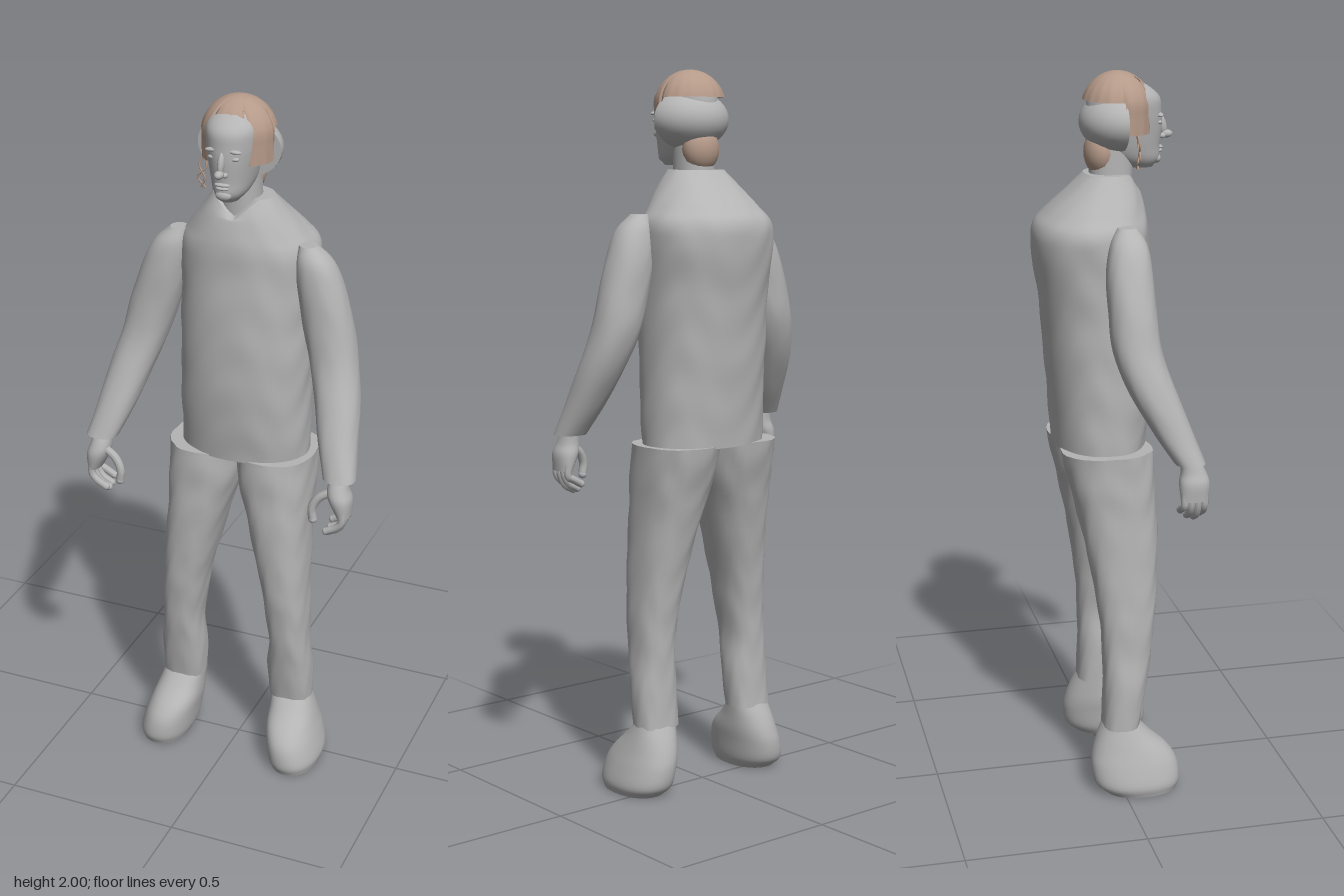
import * as THREE from 'three';
import { mergeGeometries } from 'three/addons/utils/BufferGeometryUtils.js';

const V = (x, y, z) => new THREE.Vector3(x, y, z);

// Smooth surface from rings that close on themselves; u runs upwards, v around
function grid(nu, nv, fn) {
  const pos = [], idx = [];
  for (let i = 0; i <= nu; i++)
    for (let j = 0; j < nv; j++) pos.push(...fn(i / nu, (j / nv) * Math.PI * 2).toArray());
  for (let i = 0; i < nu; i++)
    for (let j = 0; j < nv; j++) {
      const k = (j + 1) % nv, a = i * nv + j, b = i * nv + k, c = a + nv, d = b + nv;
      idx.push(a, c, b, b, c, d);
    }
  const g = new THREE.BufferGeometry();
  g.setAttribute('position', new THREE.Float32BufferAttribute(pos, 3));
  g.setIndex(idx);
  g.computeVertexNormals();
  return g;
}

// Capped body from cross-sections [y, xMin, xMax, zMin, zMax], lowest first
function loft(rows, { power = 2.2, wrinkle = 0, steps = 5, sides = 36, shape = null } = {}) {
  const cx = new THREE.CatmullRomCurve3(rows.map(r => V(r[1], r[0], r[2])), false, 'catmullrom');
  const cz = new THREE.CatmullRomCurve3(rows.map(r => V(r[3], r[0], r[4])), false, 'catmullrom');
  const round = t => Math.sign(t) * Math.pow(Math.abs(t), 2 / power);
  const ring = (u, a) => {
    const p = cx.getPoint(u), q = cz.getPoint(u);
    const w = 1 + wrinkle * Math.sin(p.y * 38 + 3 * Math.sin(a * 3)) * Math.sin(a * 4 + p.y * 9);
    const out = V((p.x + p.z) / 2 + (p.z - p.x) / 2 * round(Math.cos(a)) * w, p.y,
      (q.x + q.z) / 2 + (q.z - q.x) / 2 * round(Math.sin(a)) * w);
    return shape ? shape(out, u) : out;
  };
  const mid = u => {
    const p = cx.getPoint(u), q = cz.getPoint(u);
    const out = V((p.x + p.z) / 2, p.y, (q.x + q.z) / 2);
    return shape ? shape(out, u) : out;
  };
  return mergeGeometries([
    grid((rows.length - 1) * steps, sides, ring),
    grid(1, sides, (u, a) => mid(0).lerp(ring(0, a), u)),
    grid(1, sides, (u, a) => ring(1, a).lerp(mid(1), u)),
  ]);
}

// Mirror cross-sections to the other side, with a sideways shift growing from low to high
function mirror(rows, low = 0, high = 0) {
  const y0 = rows[0][0], y1 = rows[rows.length - 1][0];
  return rows.map(([y, a, b, c, d]) => {
    const s = low + (high - low) * (y - y0) / (y1 - y0);
    return [y, s - b, s - a, c, d];
  });
}

const TORSO = [
  [0.98, -0.167, 0.199, -0.146, 0.105], [1.1, -0.167, 0.199, -0.155, 0.12],
  [1.25, -0.166, 0.2, -0.167, 0.128], [1.4, -0.166, 0.202, -0.18, 0.125],
  [1.53, -0.17, 0.208, -0.198, 0.117], [1.59, -0.168, 0.205, -0.192, 0.113],
  [1.63, -0.14, 0.178, -0.16, 0.108], [1.68, -0.102, 0.138, -0.108, 0.095],
  [1.73, -0.066, 0.1, -0.055, 0.072]];
const ARM = [
  [1.015, -0.395, -0.305, 0.105, 0.187], [1.1, -0.376, -0.27, 0.05, 0.157],
  [1.2, -0.357, -0.235, -0.005, 0.12], [1.3, -0.33, -0.2, -0.04, 0.09],
  [1.4, -0.305, -0.168, -0.046, 0.08], [1.5, -0.27, -0.145, -0.045, 0.077],
  [1.57, -0.235, -0.137, -0.03, 0.068], [1.613, -0.188, -0.14, -0.005, 0.045]];
const LEG = [
  [0.19, -0.233, -0.108, -0.05, 0.055], [0.3, -0.232, -0.102, -0.045, 0.072],
  [0.4, -0.22, -0.108, -0.046, 0.09], [0.5, -0.217, -0.093, -0.052, 0.1],
  [0.6, -0.21, -0.075, -0.065, 0.11], [0.8, -0.2, -0.022, -0.102, 0.115],
  [0.9, -0.199, 0.008, -0.128, 0.112], [0.985, -0.198, 0.022, -0.144, 0.107]];
const SHOE = [
  [0, -0.273, -0.14, -0.045, 0.155], [0.03, -0.28, -0.128, -0.078, 0.166],
  [0.08, -0.268, -0.12, -0.086, 0.16], [0.12, -0.255, -0.114, -0.08, 0.135],
  [0.16, -0.242, -0.113, -0.066, 0.09], [0.2, -0.229, -0.112, -0.047, 0.052]];
const PALM = [
  [0.915, -0.388, -0.352, 0.118, 0.192], [0.96, -0.39, -0.328, 0.116, 0.198],
  [0.99, -0.38, -0.322, 0.122, 0.19], [1.03, -0.37, -0.328, 0.122, 0.17]];
const HEAD = [
  [1.742, -0.008, 0.04, 0.07, 0.132], [1.765, -0.028, 0.06, 0.015, 0.15],
  [1.8, -0.041, 0.073, -0.03, 0.152], [1.85, -0.051, 0.083, -0.05, 0.157],
  [1.89, -0.057, 0.089, -0.05, 0.156], [1.93, -0.058, 0.09, -0.045, 0.15],
  [1.96, -0.045, 0.077, -0.03, 0.117], [1.985, -0.018, 0.05, 0.005, 0.07]];
const NECK = [
  [1.6, -0.045, 0.077, -0.05, 0.075], [1.7, -0.038, 0.07, -0.042, 0.075],
  [1.82, -0.036, 0.068, -0.04, 0.08]];

export function createModel() {
  const model = new THREE.Group();
  model.name = 'standingFigure';
  const grey = new THREE.MeshStandardMaterial({ color: 0xb4b4b4, side: THREE.DoubleSide });
  grey.name = 'plain grey';
  const brown = new THREE.MeshStandardMaterial({ color: 0xb59a89, side: THREE.DoubleSide });
  brown.name = 'hair brown';
  const add = (name, geo, mat = grey, parent = model) => {
    const m = new THREE.Mesh(geo, mat);
    m.name = name;
    parent.add(m);
    return m;
  };
  const blob = (name, x, y, z, rx, ry, rz, mat = grey, parent = model) => {
    const m = add(name, new THREE.SphereGeometry(1, 16, 12), mat, parent);
    m.position.set(x, y, z);
    m.scale.set(rx, ry, rz);
    return m;
  };
  const tube = (points, r) => new THREE.TubeGeometry(new THREE.CatmullRomCurve3(points), 12, r, 8);

  // Sleeveless tunic with a V neck dipping at the front of the collar
  add('tunic', loft(TORSO, {
    wrinkle: 0.012, sides: 64, steps: 6,
    shape: (p, u) => {
      const top = Math.max(0, (u - 0.87) / 0.13);
      const vee = p.z > 0.02 ? Math.max(0, 1 - Math.abs(p.x - 0.017) / 0.06) : 0;
      p.y -= 0.055 * top * vee;
      p.z += 0.018 * top * vee;
      return p;
    },
  }));
  add('neck', loft(NECK));

  // Sleeves, trouser legs and shoes
  add('rightSleeve', loft(ARM, { wrinkle: 0.012 }));
  add('leftSleeve', loft(mirror(ARM, 0, 0.04), { wrinkle: 0.012 }));
  add('rightTrouserLeg', loft(LEG, { power: 2.4, wrinkle: 0.025 }));
  add('leftTrouserLeg', loft(mirror(LEG, -0.003, 0.022), { power: 2.4, wrinkle: 0.025 }));
  add('rightShoe', loft(SHOE));
  add('leftShoe', loft(mirror(SHOE)));

  // Hands with four curled fingers and a thumb
  for (const s of [1, -1]) {
    const hand = new THREE.Group();
    hand.name = s > 0 ? 'rightHand' : 'leftHand';
    model.add(hand);
    add('palm', loft(s > 0 ? PALM : mirror(PALM), { sides: 20 }), grey, hand);
    for (let i = 0; i < 4; i++) {
      const z = 0.128 + i * 0.018, drop = [0.02, 0.005, 0, 0.01][i];
      const path = [V(-0.372 * s, 0.935, z), V(-0.37 * s, 0.9, z), V(-0.355 * s, 0.872 + drop, z), V(-0.328 * s, 0.857 + drop, z)];
      add('finger', tube(path, 0.0105), grey, hand);
      blob('fingertip', path[3].x, path[3].y, z, 0.0105, 0.0105, 0.0105, grey, hand);
    }
    const thumb = [V(-0.345 * s, 0.985, 0.165), V(-0.3 * s, 0.957, 0.172), V(-0.284 * s, 0.925, 0.176), V(-0.287 * s, 0.893, 0.176)];
    add('thumb', tube(thumb, 0.012), grey, hand);
    blob('thumbTip', thumb[3].x, thumb[3].y, thumb[3].z, 0.012, 0.012, 0.012, grey, hand);
  }

  // Head and facial features
  add('head', loft(HEAD, { power: 2.1 }));
  const mid = 0.016;
  blob('noseBridge', mid, 1.855, 0.158, 0.009, 0.03, 0.013).rotation.x = -0.3;
  blob('noseTip', mid, 1.828, 0.172, 0.012, 0.011, 0.017);
  blob('upperLip', mid, 1.795, 0.151, 0.022, 0.005, 0.01);
  blob('lowerLip', mid, 1.785, 0.15, 0.018, 0.005, 0.01);
  blob('chin', mid, 1.764, 0.143, 0.022, 0.014, 0.013);
  for (const s of [-1, 1]) {
    blob('nostril', mid + s * 0.011, 1.824, 0.158, 0.007, 0.007, 0.009);
    blob('eye', mid + s * 0.03, 1.864, 0.142, 0.013, 0.006, 0.009);
    blob('brow', mid + s * 0.031, 1.884, 0.144, 0.019, 0.006, 0.01).rotation.z = -s * 0.1;
  }

  // Rounded grey shell behind the head, flat at its front
  const shell = add('headBackShell', mergeGeometries([
    new THREE.SphereGeometry(1, 32, 20, Math.PI, Math.PI), new THREE.CircleGeometry(1, 40)]));
  shell.position.set(0.018, 1.865, 0.043);
  shell.scale.set(0.116, 0.082, 0.11);

  // Hair cap: short at the back, long at the temples, open at the forehead
  const hairline = s => (s > 0.82 ? 1.952 : s > 0.08 ? 1.838 : 1.925);
  add('hairCap', grid(14, 72, (u, a) => {
    const theta = Math.acos((hairline(Math.sin(a)) - 1.9) / 0.1) * (1 - u);
    const r = theta > Math.PI / 2 ? 0.98 : Math.sin(theta);
    const lock = 1 + 0.012 * Math.sin(a * 18) * (1 - u);
    return V(mid + 0.1 * r * lock * Math.cos(a), 1.9 + 0.1 * Math.cos(theta), 0.035 + 0.095 * r * lock * Math.sin(a));
  }), brown);

  // Hair at the nape and loose strands by the cheek
  blob('napeHair', mid, 1.785, -0.012, 0.056, 0.062, 0.044, brown);
  for (let i = 0; i < 2; i++)
    add('looseStrand', tube([V(-0.068, 1.845, 0.07), V(-0.06 - i * 0.02, 1.81, 0.075),
      V(-0.085 + i * 0.02, 1.78, 0.075), V(-0.065 - i * 0.012, 1.75, 0.07)], 0.0025), brown);
  return model;
}
